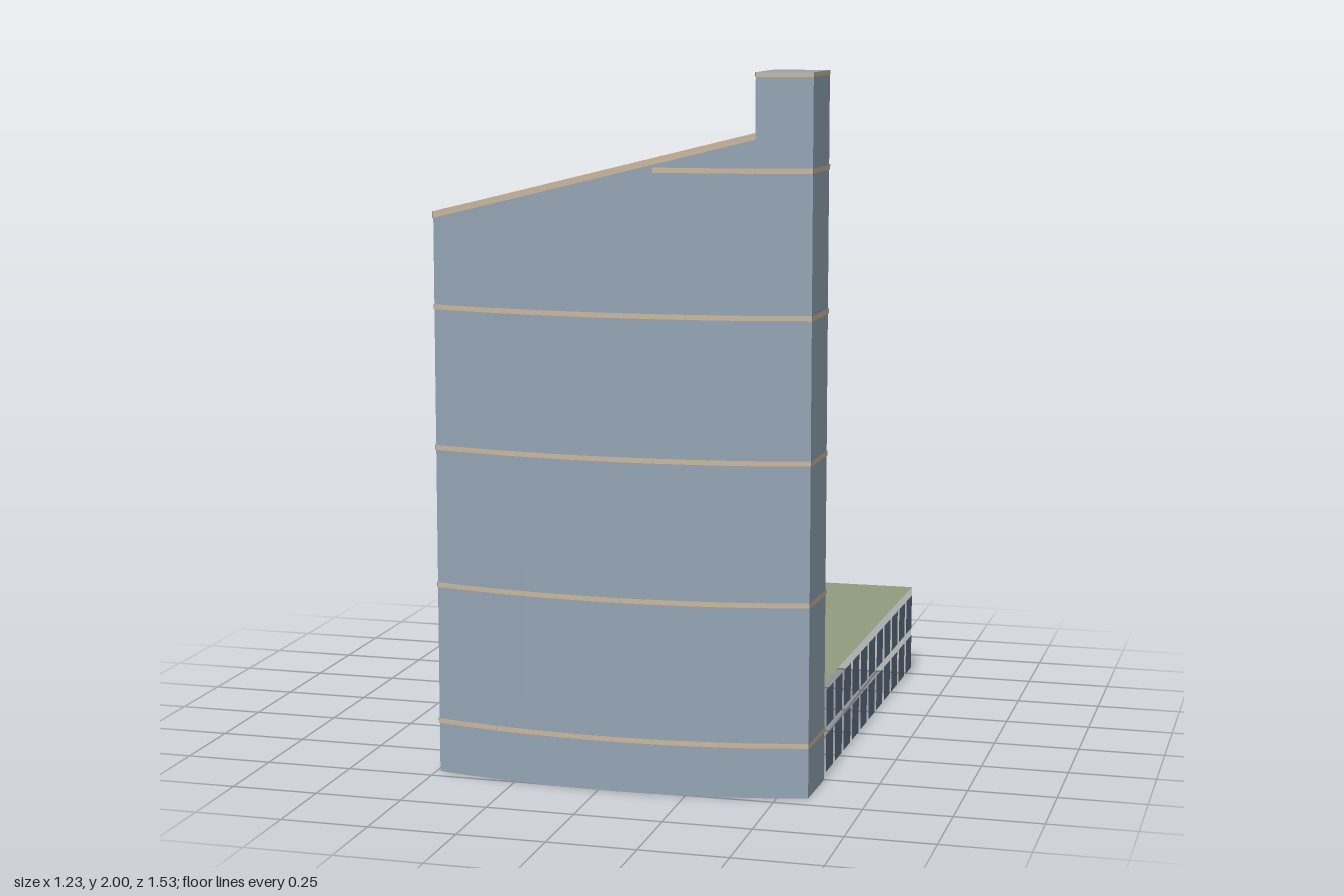
import * as THREE from 'three';

const mat = (name, color) => new THREE.MeshStandardMaterial({ name, color, side: THREE.DoubleSide });

// Footprint curves and the sloping roof line
const frontZ = x => 0.763 - 0.22 * (x - 0.03) ** 2;
const backZ = x => 0.11 + 0.19 * (x + 0.05) ** 2;
const roofY = x => 1.575 + 0.2515 * (x + 0.615);
const arc = (x0, x1, n, f) => Array.from({ length: n + 1 }, (_, i) => {
  const x = x0 + (x1 - x0) * i / n;
  return [x, f(x)];
});

export function createModel() {
  const model = new THREE.Group();
  const glass = mat('blueFacade', 0x95a6b5);
  const trim = mat('tanTrim', 0xcbb89f);
  const green = mat('greenRoof', 0x929d80);
  const frame = mat('greyFrame', 0xbfc1c0);
  const pane = mat('darkWindow', 0x61738a);

  const addMesh = (name, geometry, material, parent = model) => {
    const mesh = new THREE.Mesh(geometry, material);
    mesh.name = name;
    parent.add(mesh);
    return mesh;
  };

  // Upright faces along a path of [x, z] points, between two height rules
  const wall = (path, low, high, offset = 0) => {
    const v = [];
    for (let i = 0; i + 1 < path.length; i++) {
      const [ax, az] = path[i], [bx, bz] = path[i + 1];
      const len = Math.hypot(bx - ax, bz - az);
      const ox = (bz - az) / len * offset, oz = -(bx - ax) / len * offset;
      const a0 = low(ax), b0 = low(bx), a1 = high(ax), b1 = high(bx);
      if (a1 <= a0 || b1 <= b0) continue;
      const p = (x, y, z) => [x + ox, y, z + oz];
      v.push(...p(ax, a0, az), ...p(ax, a1, az), ...p(bx, b1, bz),
        ...p(ax, a0, az), ...p(bx, b1, bz), ...p(bx, b0, bz));
    }
    const g = new THREE.BufferGeometry();
    g.setAttribute('position', new THREE.Float32BufferAttribute(v, 3));
    g.computeVertexNormals();
    return g;
  };

  // Flat or sloping cap over a closed outline
  const cap = (outline, height) => {
    const shape = new THREE.Shape(outline.map(([x, z]) => new THREE.Vector2(x, -z)));
    const g = new THREE.ShapeGeometry(shape).rotateX(-Math.PI / 2);
    const p = g.attributes.position;
    for (let i = 0; i < p.count; i++) p.setY(i, height(p.getX(i)));
    g.computeVertexNormals();
    return g;
  };

  const body = [
    ...arc(0.435, -0.49, 10, frontZ),
    [-0.48, 0.515], [-0.515, 0.515], [-0.51, 0.355], [-0.61, 0.355],
    ...arc(-0.61, 0.46, 10, backZ),
    [0.46, 0.35], [0.43, 0.35], [0.435, 0.5],
  ];
  const core = [[0.435, 0.5], [0.59, 0.505], [0.585, 0.69], [0.435, frontZ(0.435)]];
  const at = y => () => y;

  // Tower with a sloping roof
  const tower = new THREE.Group();
  tower.name = 'tower';
  model.add(tower);
  addMesh('towerWalls', wall(body, at(0), roofY), glass, tower);
  addMesh('towerRoof', cap(body, roofY), glass, tower);
  addMesh('towerRoofTrim', wall(body, x => roofY(x) - 0.018, roofY, 0.003), trim, tower);

  // Taller corner shaft
  const innerSide = [core[3], core[0]];
  addMesh('shaftWalls', wall(core, at(0), at(2)), glass, tower);
  addMesh('shaftInnerWall', wall(innerSide, roofY, at(2)), glass, tower);
  addMesh('shaftRoof', cap(core, at(2)), glass, tower);
  addMesh('shaftTrim', wall([...core, core[0]], at(1.988), at(2), 0.002), trim, tower);

  // Floor bands, stopping where the roof comes down
  for (const y of [0.15, 0.547, 0.942, 1.34, 1.737]) {
    const top = x => (roofY(x) - 0.018 > y + 0.007 ? y + 0.007 : 0);
    addMesh('floorBand', wall(body, at(y - 0.007), top, 0.003), trim, tower);
    addMesh('shaftBand', wall(core, at(y - 0.007), at(y + 0.007), 0.003), trim, tower);
  }
  addMesh('backUprightBand', wall(arc(-0.036, -0.026, 1, backZ), at(0.285), roofY, 0.004), trim, tower);

  // Low wing behind the tower, open underneath
  const wing = new THREE.Group();
  wing.name = 'lowWing';
  model.add(wing);
  const corners = [[-0.61, 0.17], [-0.61, -0.74], [0.61, -0.765], [0.59, 0.505]];
  const H = 0.285;
  const tail = body.findIndex(([x, z]) => x === -0.61 && z < 0.3);
  addMesh('greenRoofDeck', cap(
    [...corners.slice(1), core[2], ...body.slice(0, tail + 1)], at(H)), green, wing);
  addMesh('wingWalls', wall(corners.slice(0, 3), at(0), at(H)), frame, wing);

  // Two rows of windows on three sides
  for (let s = 0; s < 3; s++) {
    const [ax, az] = corners[s], [bx, bz] = corners[s + 1];
    const n = Math.round(Math.hypot(bx - ax, bz - az) / 0.115);
    const point = t => [ax + (bx - ax) * t, az + (bz - az) * t];
    for (let i = 0; i < n; i++) {
      const span = [point((i + 0.11) / n), point((i + 0.89) / n)];
      for (const y of [0.02, 0.152]) {
        addMesh('wingWindow', wall(span, at(y), at(y + 0.108), 0.003), pane, wing);
      }
    }
  }
  return model;
}
